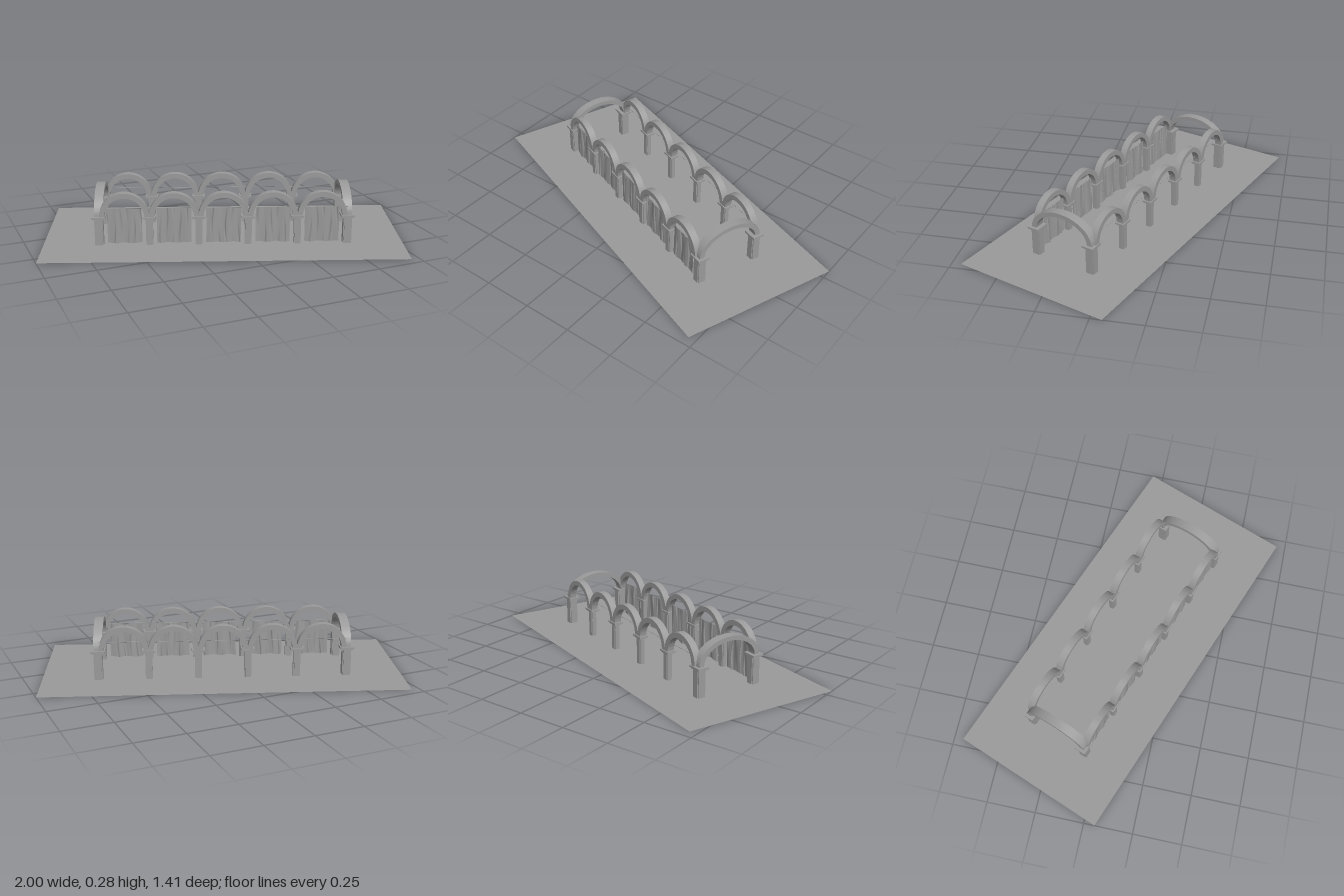
import * as THREE from 'three';
import { toCreasedNormals } from 'three/addons/utils/BufferGeometryUtils.js';

const ROW = 0.165;      // distance of each long arcade from the centre line
const BAY = 0.25;       // spacing of the pillars
const END = 0.628;      // distance of the end arches from the centre
const SPRING = 0.15;    // height where the arches start
const GREY = 0x9a9a9a;

export function createModel() {
  const root = new THREE.Group();
  const hall = new THREE.Group();
  hall.name = 'arcade';
  hall.rotation.y = -THREE.MathUtils.degToRad(20.8);
  root.add(hall);

  const stone = new THREE.MeshStandardMaterial({ color: GREY });
  const sheet = new THREE.MeshStandardMaterial({ color: GREY, side: THREE.DoubleSide });

  const add = (name, geometry, material = stone, parent = hall) => {
    const mesh = new THREE.Mesh(geometry, material);
    mesh.name = name;
    parent.add(mesh);
    return mesh;
  };

  // Flat ground sheet
  add('ground', new THREE.PlaneGeometry(1.83, 0.813).rotateX(-Math.PI / 2), sheet);

  // Pillar: shaft with notched corners, stepped neck and a projecting capital
  const addPillar = (name, x, z, w, d, capW, capD) => {
    const pillar = new THREE.Group();
    pillar.name = name;
    pillar.position.set(x, 0, z);
    hall.add(pillar);
    const block = (part, bw, bd, y0, y1) => {
      add(part, new THREE.BoxGeometry(bw, y1 - y0, bd), stone, pillar).position.y = (y0 + y1) / 2;
    };
    block('shaft', w, d - 0.01, 0, 0.136);
    block('shaft', w - 0.01, d, 0, 0.136);
    block('neck', (w + capW) / 2, (d + capD) / 2, 0.136, 0.142);
    block('capital', capW, capD, 0.142, SPRING + 0.002);
  };

  // Half-elliptical arch band, extruded and centred on its depth
  const archGeometry = (rx, ry, inRx, inRy, depth) => {
    const shape = new THREE.Shape();
    shape.moveTo(rx, 0);
    shape.absellipse(0, 0, rx, ry, 0, Math.PI, false);
    shape.lineTo(-inRx, 0);
    shape.absellipse(0, 0, inRx, inRy, Math.PI, 0, true);
    shape.closePath();
    const g = new THREE.ExtrudeGeometry(shape, { depth, bevelEnabled: false, curveSegments: 24 });
    return toCreasedNormals(g.translate(0, 0, -depth / 2), 0.6);
  };
  const bayArch = archGeometry(0.126, 0.126, 0.1, 0.1, 0.036);
  const endArch = archGeometry(0.174, 0.122, 0.147, 0.1, 0.046);

  // Hanging cloth: a gently waving sheet with a few narrow, wandering creases
  const curtainGeometry = (seed) => {
    const g = new THREE.PlaneGeometry(0.175, 0.186, 80, 10);
    const p = g.attributes.position;
    for (let i = 0; i < p.count; i++) {
      const x = p.getX(i), y = p.getY(i);
      const drop = 0.5 - y / 0.186;
      const s = (x / 0.175 + 0.5) * Math.PI * 2;
      const wave = Math.sin(s * 2.3 + seed * 2.1 + drop) * 0.003;
      const crease = Math.abs(Math.sin(s * 2.6 + seed + 0.4 * Math.sin(drop * 5 + seed))) ** 24;
      p.setZ(i, wave - crease * 0.007 * (0.5 + 0.5 * Math.sin(drop * 4 + s * 2 + seed)));
      p.setY(i, y + Math.sin(s * 2 + seed) * 0.002 * drop);
    }
    g.computeVertexNormals();
    return g;
  };

  // Two long arcades of five bays
  for (const side of [-1, 1]) {
    const label = side > 0 ? 'front' : 'back';
    for (let i = -2; i <= 2; i++) {
      add(label + 'Arch', bayArch).position.set(i * BAY, SPRING, side * ROW);
      // Curtains hang only along the front
      if (side > 0) add('curtain', curtainGeometry(i * 1.7 + 5), sheet).position.set(i * BAY, 0.1, ROW);
    }
    for (const x of [-1.5, -0.5, 0.5, 1.5]) {
      addPillar(label + 'Pillar', x * BAY, side * ROW, 0.036, 0.03, 0.067, 0.048);
    }
    for (const x of [-1, 1]) {
      addPillar(label + 'CornerPillar', x * 0.63, side * 0.158, 0.044, 0.046, 0.072, 0.06);
    }
    // Thin rod running through the bays
    const rod = new THREE.CylinderGeometry(0.0012, 0.0012, 2 * END, 6).rotateZ(Math.PI / 2);
    add(label + 'CurtainRod', rod).position.set(0, 0.194, side * ROW);
  }

  // One wide arch closing each end
  for (const x of [-1, 1]) {
    const arch = add(x > 0 ? 'leftEndArch' : 'rightEndArch', endArch);
    arch.rotation.y = Math.PI / 2;
    arch.position.set(x * END, SPRING, 0);
  }

  return root;
}
